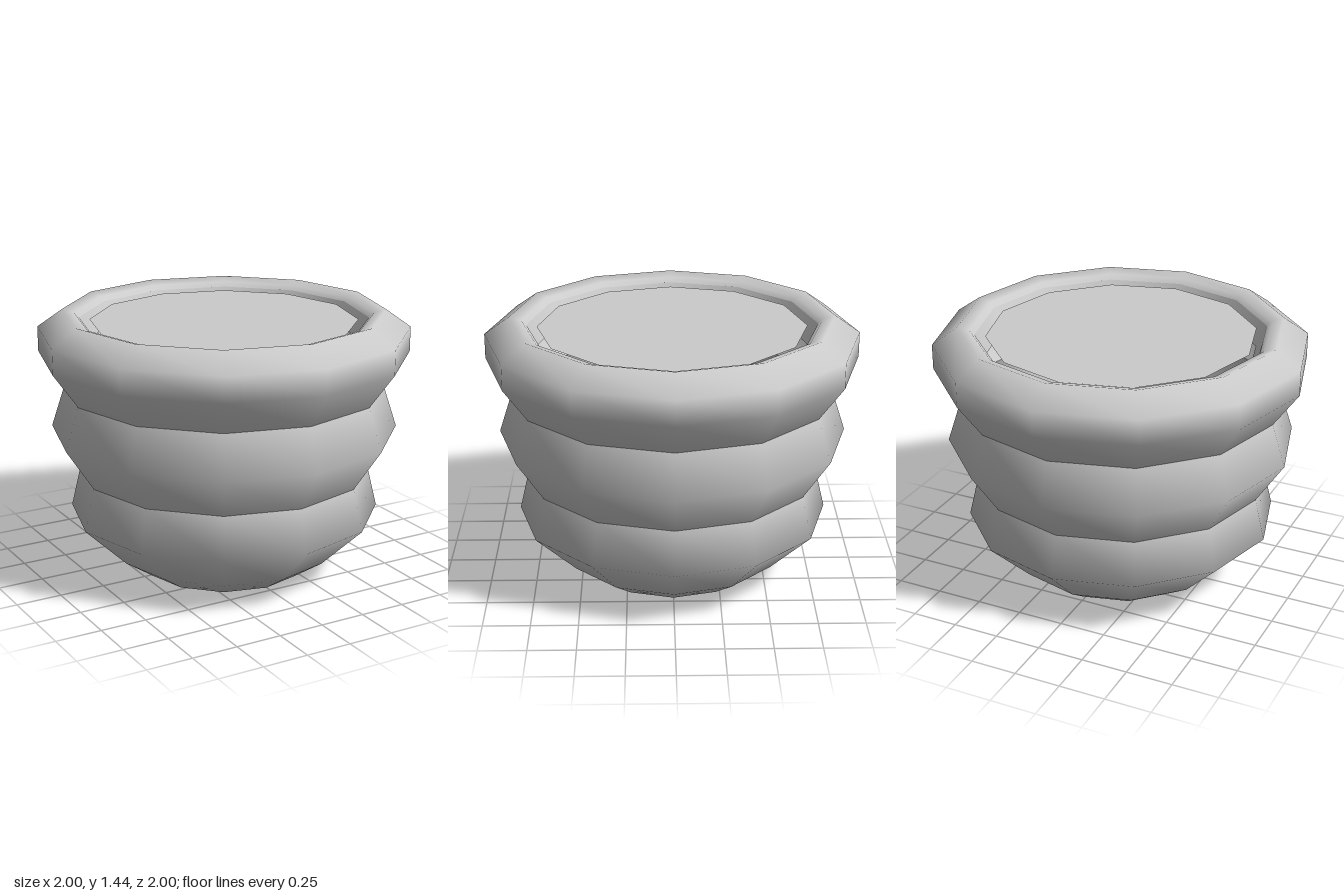
import * as THREE from 'three';

const SIDES = 12;

export function createModel() {
  const group = new THREE.Group();
  group.name = 'tieredPot';
  const material = new THREE.MeshStandardMaterial({ color: 0xcccccc, side: THREE.DoubleSide });

  // Each profile is smooth inside itself; creases fall between profiles.
  const addRing = (name, profile) => {
    const points = profile.map(([r, y]) => new THREE.Vector2(r, y));
    const mesh = new THREE.Mesh(new THREE.LatheGeometry(points, SIDES), material);
    mesh.name = name;
    group.add(mesh);
  };

  // Bulging tiers, from the closed base up to the rolled rim
  addRing('lowerTier', [[0, 0], [0.46, 0], [0.61, 0.1], [0.845, 0.33], [0.79, 0.56]]);
  addRing('middleTier', [[0.79, 0.56], [0.94, 0.79], [0.865, 1.02]]);
  addRing('rim', [[0.865, 1.02], [1, 1.21], [1, 1.345], [0.865, 1.44], [0.8, 1.42], [0.775, 1.395]]);

  // Inner wall sloping down behind the edge of the fill
  addRing('innerWall', [[0.775, 1.395], [0.72, 1.28]]);

  // Flat fill just below the rim
  const fill = new THREE.Mesh(new THREE.CircleGeometry(0.72, SIDES).rotateX(-Math.PI / 2), material);
  fill.name = 'soil';
  fill.position.y = 1.385;
  group.add(fill);

  return group;
}
